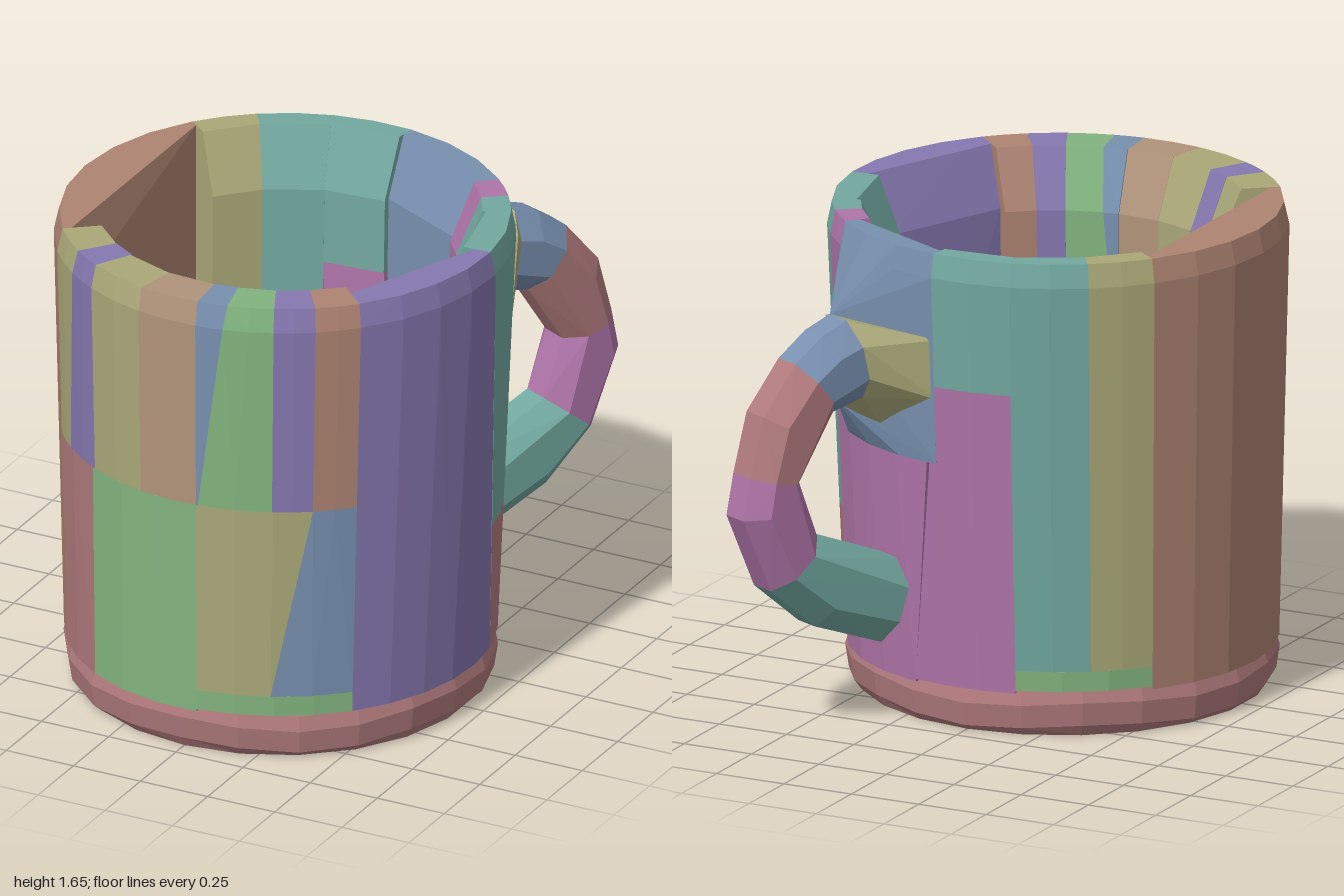
import * as THREE from 'three';
import { ConvexGeometry } from 'three/addons/geometries/ConvexGeometry.js';

const TOP = 1.66;
const V = (x, y, z) => new THREE.Vector3(x, y, z);
const { degToRad, lerp } = THREE.MathUtils;
const COLORS = {
  rose: 0xb07a7c, green: 0x82b47e, olive: 0xaaa878, tan: 0xb0947a, violet: 0x8678b0,
  blue: 0x7890b0, teal: 0x72a8a0, plum: 0xae74a8, brown: 0xae8472,
};

// Wall profile by height: the centre drifts slightly, the rim is rounded and flares inside;
// the wall is thicker at the front than at the back
const centreZ = y => 0.262 - 0.02 * y;
const outerR = y => (y === TOP ? 0.745 : 0.71 + 0.033 * y);
const innerR = (y, deg) =>
  0.535 + 0.01 * y + 0.4 * Math.max(0, y - 1.46) - 0.035 * Math.cos(degToRad(deg));
const onWall = (deg, r, y) => {
  const a = degToRad(deg);
  return V(r * Math.sin(a), y, centreZ(y) + r * Math.cos(a));
};

// Points of one block: curved outside, flat inside; 0 degrees = front, 90 = left
function blockPoints(y0, y1, low, high) {
  const pts = [];
  const levels = y1 === TOP ? [y0, 1.46, 1.58, y1] : [y0, y1];
  for (const y of levels) {
    const t = (y - y0) / (y1 - y0);
    const [start, end] = [0, 1].map(k => lerp(low[k], high[k], t));
    const steps = Math.max(2, Math.ceil((end - start) / 13));
    for (let i = 0; i <= steps; i++) {
      const offset = (end - start) * (i / steps - 0.5);
      const a = (start + end) / 2 + offset;
      const flat = innerR(y, a) / Math.cos(degToRad(offset));
      pts.push(onWall(a, outerR(y), y), onWall(a, Math.min(flat, outerR(y) - 0.03), y));
    }
  }
  return pts;
}

// Octagonal cross-section of the handle at t along its path, slimmer towards the grip
function handleRing(path, t) {
  const side = V(0.9, 0, 0.43);
  const up = path.getTangent(t).cross(side).normalize();
  const depth = 0.112 + 0.042 * Math.abs(2 * t - 1);
  return Array.from({ length: 8 }, (_, i) => {
    const a = (i + 0.5) * Math.PI / 4;
    return path.getPoint(t)
      .addScaledVector(up, depth * Math.cos(a))
      .addScaledVector(side, 0.122 * Math.sin(a));
  });
}

export function createModel() {
  const group = new THREE.Group();
  const add = (name, color, geometry) => {
    const material = new THREE.MeshStandardMaterial({ color: COLORS[color], flatShading: true });
    const mesh = new THREE.Mesh(geometry, material);
    mesh.name = name;
    group.add(mesh);
    return mesh;
  };
  // Neighbouring blocks between seams, whose angles may differ at the bottom and the top
  const row = (name, colors, y0, y1, low, high = low, extra = []) => {
    colors.split(' ').forEach((color, i) => {
      const pts = blockPoints(y0, y1, low.slice(i, i + 2), high.slice(i, i + 2));
      add(name, color, new ConvexGeometry([...pts, ...extra]));
    });
  };

  // Solid base with an uneven edge; its top is the floor inside
  const profile = [[0, 0.01], [0.68, 0.01], [0.705, 0.04], [0.717, 0.12], [0.702, 0.17], [0, 0.17]];
  const baseGeo = new THREE.LatheGeometry(profile.map(p => new THREE.Vector2(...p)), 22);
  const pos = baseGeo.attributes.position;
  for (let i = 0; i < pos.count; i++) {
    const [x, z] = [pos.getX(i), pos.getZ(i)];
    if (Math.hypot(x, z) > 0.7) pos.setY(i, pos.getY(i) + 0.01 * Math.cos(5 * Math.atan2(x, z)));
  }
  add('base', 'rose', baseGeo).position.z = 0.26;

  // Front wall
  row('upperFrontBlock', 'olive violet olive tan blue green violet brown', 0.92, TOP,
    [-52, -43, -29, -11.5, 5, 5.5, 25, 35.5, 47],
    [-52, -38.5, -29, -11.5, 5, 13, 25, 35.5, 47]);
  row('lowerFrontBlock', 'rose green', 0.16, 0.92, [-52, -31, 5], [-52, -30, 5]);
  row('lowerFrontBlock', 'olive blue', 0.24, 0.92, [5, 25, 47], [5, 35.5, 47]);
  row('lowerFrontStrip', 'green', 0.17, 0.24, [5, 47]);

  // Side walls
  row('leftSideBlock', 'violet', 0.17, TOP, [47, 102], [47, 93]);
  row('upperLeftBlock', 'teal teal', 0.63, TOP, [99, 118, 127], [93, 118, 127]);
  row('lowerLeftBlock', 'rose', 0.17, 0.63, [102, 127], [99, 127]);
  row('rightSideBlock', 'brown', 0.16, TOP, [232, 308]);

  // Back wall, with a bulging block that meets the handle
  row('upperBackStrip', 'plum', 0.93, TOP, [127, 137]);
  row('handleBackBlock', 'blue', 0.93, TOP, [137, 174], [137, 174],
    [V(0.46, 0.95, -0.35), V(0.48, 1.08, -0.43), V(0.49, 1.38, -0.46), V(0.48, 1.6, -0.36)]);
  row('lowerBackBlock', 'plum', 0.15, 0.93, [127, 165], [127, 171]);
  row('lowerBackBlock', 'plum', 0.16, 1.2, [165, 195], [174, 195]);
  row('upperBackBlock', 'teal', 1.2, TOP, [174, 195]);
  row('tallBackBlock', 'teal olive', 0.24, TOP, [195, 215, 232]);
  row('backStrip', 'green', 0.17, 0.24, [195, 232]);

  // Handle: a leaning loop in four pieces, with a wide collar at the upper joint
  const path = new THREE.CatmullRomCurve3(
    [[-0.56, 1.28], [-0.635, 1.26], [-0.71, 1.21], [-0.81, 1.09], [-0.857, 0.92],
      [-0.872, 0.82], [-0.785, 0.62], [-0.65, 0.505], [-0.42, 0.42]]
      .map(([z, y]) => V(0.32 - 0.48 * (z + 0.44), y, z)));
  const collar = [V(0.07, 1.36, -0.5), V(0.07, 1.15, -0.49), V(0.3, 1.02, -0.45),
    V(0.49, 1.08, -0.44), V(0.5, 1.38, -0.47)];
  add('handleCollar', 'olive', new ConvexGeometry([...collar, ...handleRing(path, 0)]));
  const pieces = { handleTop: 'blue', handleBend: 'rose', handleGrip: 'plum', handleFoot: 'teal' };
  Object.entries(pieces).forEach(([name, color], i) => {
    const rings = [0, 0.5, 1].map(t => handleRing(path, (i + t) / 4));
    add(name, color, new ConvexGeometry(rings.flat()));
  });

  return group;
}
